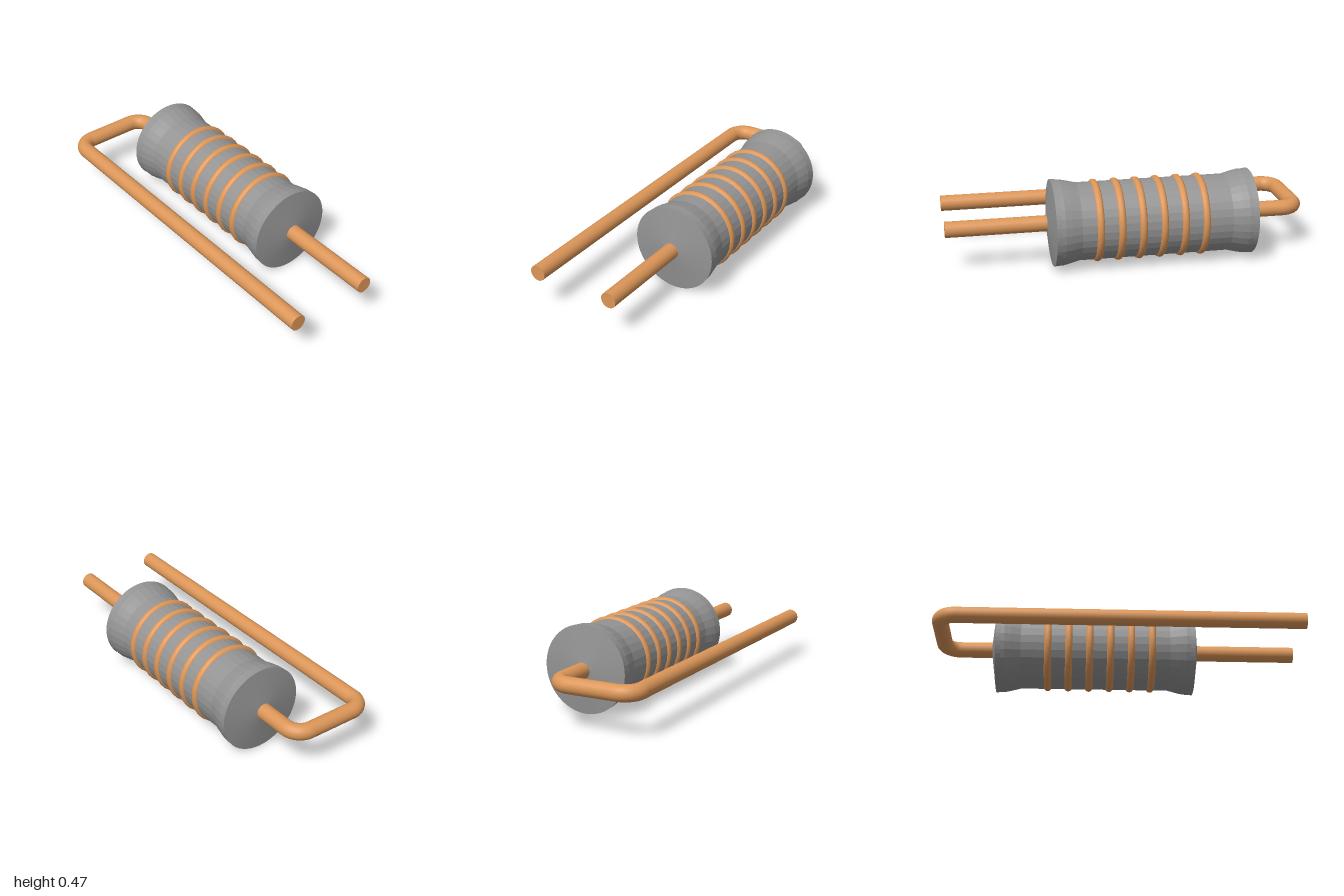
import * as THREE from 'three';

const AXIS_X = 0.126, AXIS_Y = 0.236;   // body axis, running along z
const WIRE_R = 0.0435, LEG_X = -0.319, BACK_Z = -0.956, BEND_R = 0.085;

const v = (x, z) => new THREE.Vector3(x, AXIS_Y, z);

export function createModel() {
  const group = new THREE.Group();
  const grey = new THREE.MeshStandardMaterial({ color: 0x949494, flatShading: true });
  const copper = new THREE.MeshStandardMaterial({ color: 0xdc9658 });

  const add = (name, geometry, material, x = 0, y = 0, z = 0) => {
    const mesh = new THREE.Mesh(geometry, material);
    mesh.name = name;
    mesh.position.set(x, y, z);
    group.add(mesh);
    return mesh;
  };
  // Turned shape along z from [radius, z] points, listed back to front
  const turned = (points, sides) => new THREE.LatheGeometry(
    points.map(([r, h]) => new THREE.Vector2(r, h)), sides).rotateX(Math.PI / 2);

  // Ceramic barrel, waisted between its flared ends
  const centreZ = -0.12;
  const flare = [[0.234, 0.54], [0.233, 0.5], [0.226, 0.465], [0.212, 0.41]];
  const barrel = [...flare.map(([r, h]) => [r, -h]), ...flare.slice().reverse()];
  add('barrel', turned(barrel, 32), grey, AXIS_X, AXIS_Y, centreZ);

  // Shallow conical ends with round rims
  const cap = [[0.234, 0.52], [0.236, 0.549], [WIRE_R, 0.575], [0, 0.58]];
  add('frontCap', turned(cap, 64), grey, AXIS_X, AXIS_Y, centreZ);
  add('backCap', turned(cap, 64), grey, AXIS_X, AXIS_Y, centreZ).rotation.y = Math.PI;

  // Six wire bands around the barrel
  for (let i = 0; i < 6; i++) {
    add('band' + (i + 1), new THREE.TorusGeometry(0.203, 0.022, 12, 32), copper,
      AXIS_X, AXIS_Y, -0.383 + i * 0.115);
  }

  // Straight front lead
  const leadLength = 0.58;
  add('frontLead', new THREE.CylinderGeometry(WIRE_R, WIRE_R, leadLength, 20).rotateX(Math.PI / 2),
    copper, AXIS_X, AXIS_Y, 1 - leadLength / 2);

  // Rear lead: out of the back, round two rounded corners, then forward beside the body
  const path = new THREE.CurvePath();
  const k = BEND_R * 0.448;             // handle inset for a circular corner
  const corner = (x, dir) => {          // dir: +1 turns in from the body, -1 turns out to the leg
    const side = v(x, BACK_Z + BEND_R), sideH = v(x, BACK_Z + k);
    const back = v(x - dir * BEND_R, BACK_Z), backH = v(x - dir * k, BACK_Z);
    return dir > 0
      ? new THREE.CubicBezierCurve3(side, sideH, backH, back)
      : new THREE.CubicBezierCurve3(back, backH, sideH, side);
  };
  path.add(new THREE.LineCurve3(v(AXIS_X, -0.66), v(AXIS_X, BACK_Z + BEND_R)));
  path.add(corner(AXIS_X, 1));
  path.add(new THREE.LineCurve3(v(AXIS_X - BEND_R, BACK_Z), v(LEG_X + BEND_R, BACK_Z)));
  path.add(corner(LEG_X, -1));
  path.add(new THREE.LineCurve3(v(LEG_X, BACK_Z + BEND_R), v(LEG_X, 1)));
  add('bentLead', new THREE.TubeGeometry(path, 180, WIRE_R, 20), copper);
  add('bentLeadEnd', new THREE.CircleGeometry(WIRE_R, 20), copper, LEG_X, AXIS_Y, 1);

  return group;
}
